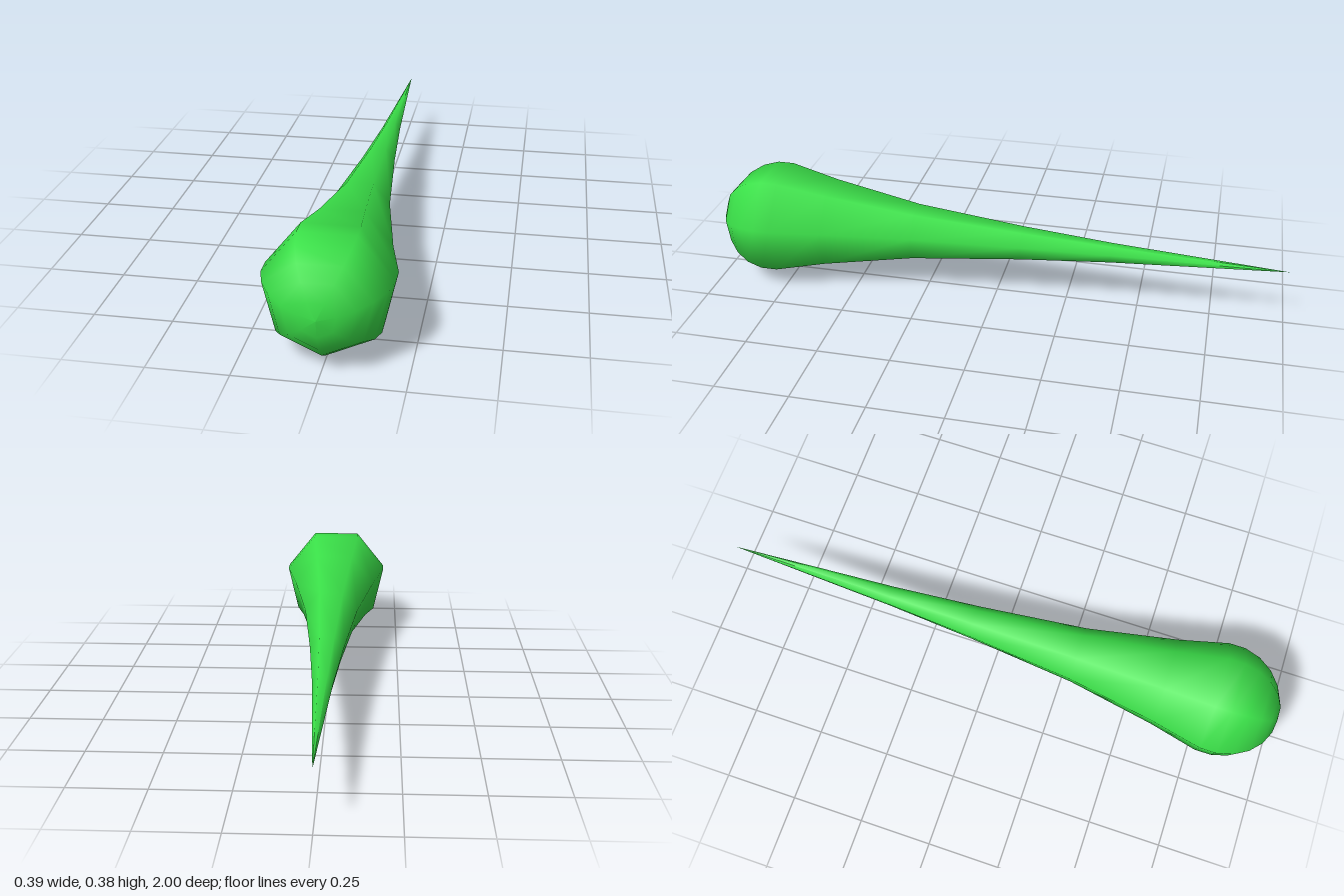
import * as THREE from 'three';

export function createModel() {
  const model = new THREE.Group();
  model.name = 'teardropSpike';
  const green = new THREE.MeshStandardMaterial({ color: 0x3adf48 });
  green.name = 'bright green';

  // Profile (radius, position along the axis): needle tip, flaring tail, rounded head
  const profile = [[0, -1], [0.035, -0.4], [0.06, -0.09], [0.1, 0.29], [0.158, 0.6]]
    .map(([r, z]) => new THREE.Vector2(r, z));
  const radius = 0.2;
  for (let i = 6; i >= 0; i--) {
    const a = (i * Math.PI) / 11;
    profile.push(new THREE.Vector2(i ? radius * 1.01 * Math.sin(a) : 0, 0.8 + radius * Math.cos(a)));
  }

  // Seven-sided body laid along z, one edge pointing straight down
  const geometry = new THREE.LatheGeometry(profile, 7);
  geometry.rotateX(Math.PI / 2);
  geometry.translate(0, radius, 0);
  const body = new THREE.Mesh(geometry, green);
  body.name = 'body';
  model.add(body);
  return model;
}
